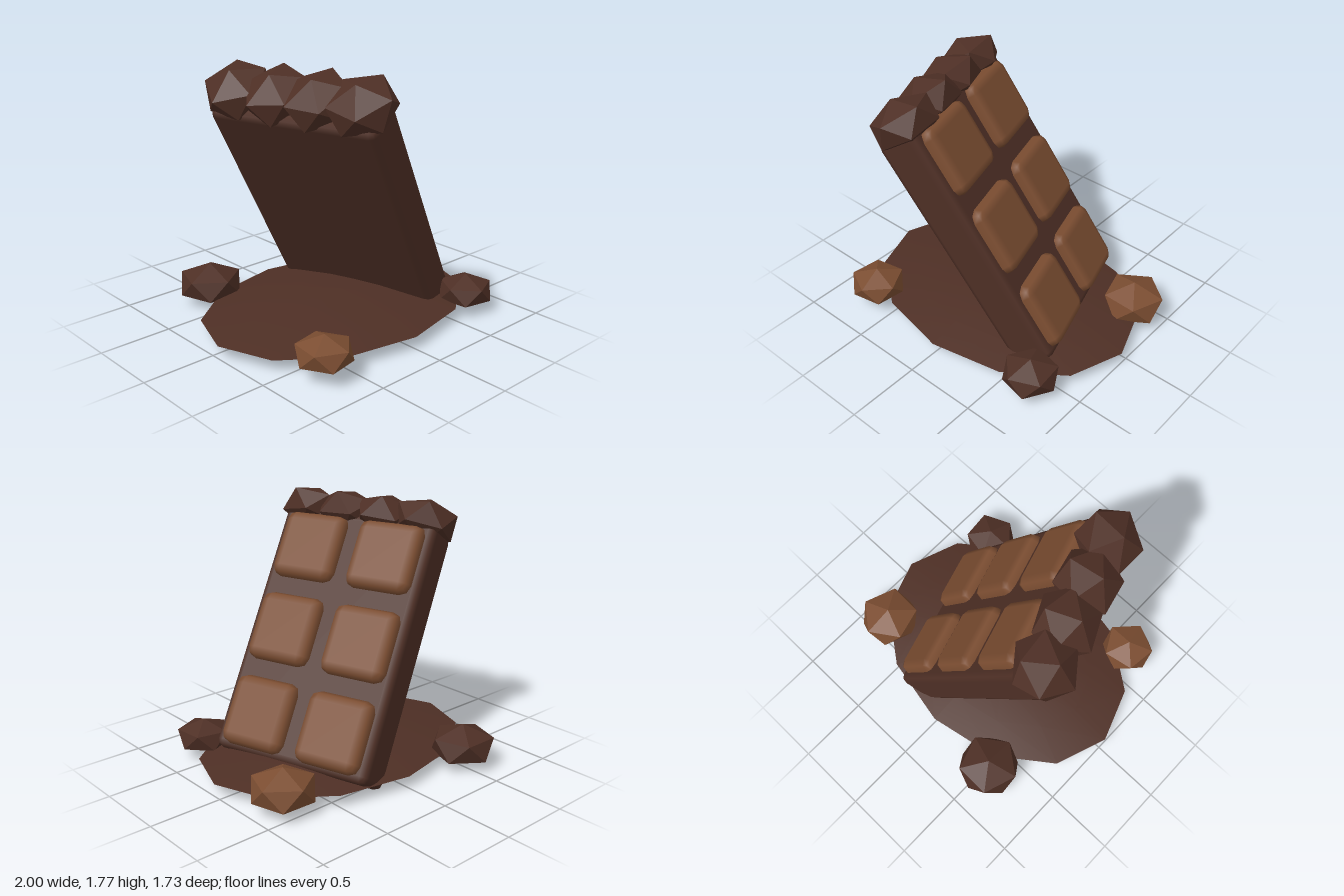
import * as THREE from 'three';
import { RoundedBoxGeometry } from 'three/addons/geometries/RoundedBoxGeometry.js';

const dark = new THREE.MeshStandardMaterial({ color: 0x4e2f25 });
dark.name = 'darkChocolate';
const milk = new THREE.MeshStandardMaterial({ color: 0x7b4d31 });
milk.name = 'milkChocolate';

function add(parent, name, geometry, material, x = 0, y = 0, z = 0) {
  const mesh = new THREE.Mesh(geometry, material);
  mesh.name = name;
  mesh.position.set(x, y, z);
  parent.add(mesh);
  return mesh;
}

// Faceted lump standing on one vertex, squashed in height
function lump(radius, height, turn) {
  const g = new THREE.IcosahedronGeometry(1, 0);
  g.rotateZ(Math.atan2(2, 1 + Math.sqrt(5)));
  g.rotateY(turn);
  g.scale(radius, height, radius);
  g.computeVertexNormals();
  return g;
}

export function createModel() {
  const model = new THREE.Group();
  model.name = 'chocolateBar';

  // Leaning bar
  const bar = new THREE.Group();
  bar.name = 'bar';
  bar.position.set(-0.006, 0.81, 0.06);
  bar.rotation.order = 'YXZ';
  bar.rotation.set(-0.56, 1.867, 0);
  model.add(bar);
  add(bar, 'slab', new RoundedBoxGeometry(1.17, 1.75, 0.3, 1, 0.05), dark);

  // Two columns of three raised squares
  const square = new RoundedBoxGeometry(0.48, 0.48, 0.16, 1, 0.07);
  for (const x of [-0.29, 0.29]) {
    for (const y of [-0.598, 0, 0.598]) add(bar, 'square', square, milk, x, y, 0.14);
  }

  // Broken edge along the top
  for (let i = 0; i < 4; i++) {
    add(bar, 'brokenEdge', lump(0.235, 0.16, i * 0.25), dark, -0.44 + i * 0.293, 0.915, 0.03);
  }

  // Low domed puddle with a flat underside
  const profile = [[1, 0.09], [0.7, 0.138], [0.35, 0.172], [0, 0.185]]
    .map(([r, y]) => new THREE.Vector2(r, y));
  const dome = add(model, 'puddle', new THREE.LatheGeometry(profile, 12), dark, 0, 0, 0.055);
  dome.scale.z = 0.745;
  const under = new THREE.CircleGeometry(1, 12);
  under.rotateX(Math.PI / 2);
  add(model, 'puddleUnderside', under, dark, 0, 0.09, 0.055).scale.z = 0.745;

  // Crumbs around the puddle: x, y, z, radius, height, turn, material
  const crumbs = [
    [-0.53, 0.15, -0.67, 0.235, 0.145, 0.3, dark],
    [0.785, 0.155, -0.375, 0.23, 0.145, 0.9, milk],
    [-0.665, 0.17, 0.67, 0.2, 0.12, 0.5, milk],
    [0.69, 0.15, 0.62, 0.2, 0.12, 0.1, dark],
  ];
  for (const [x, y, z, r, h, turn, material] of crumbs) {
    add(model, 'crumb', lump(r, h, turn), material, x, y, z);
  }
  return model;
}
